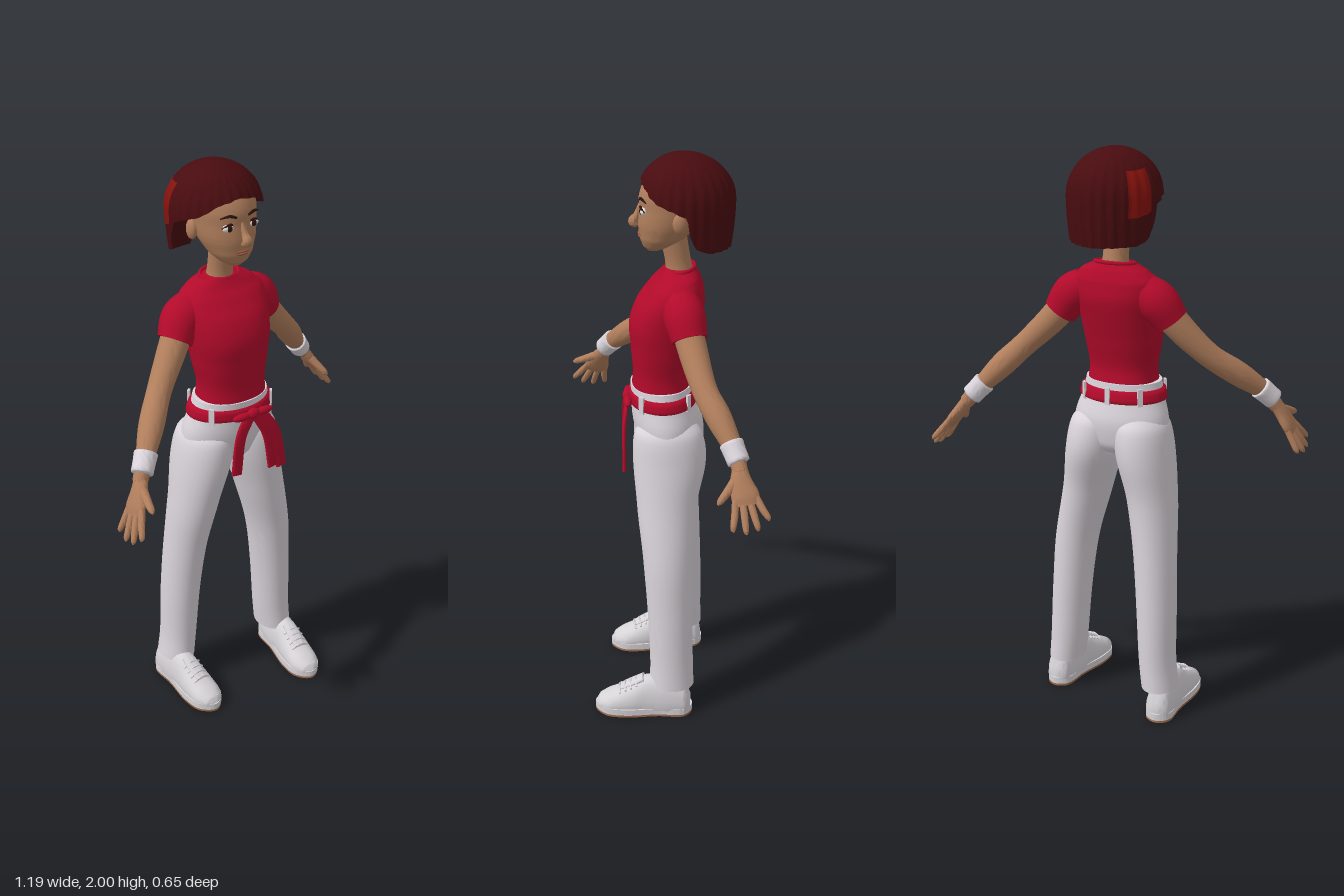
import * as THREE from 'three';
import { toCreasedNormals } from 'three/addons/utils/BufferGeometryUtils.js';

const V = (x, y, z) => new THREE.Vector3(x, y, z);
const X = V(1, 0, 0), Y = V(0, 1, 0), Z = V(0, 0, 1);

function mat(name, color, side = THREE.FrontSide) {
  const m = new THREE.MeshStandardMaterial({ color, side });
  m.name = name;
  return m;
}

function add(parent, name, geometry, material) {
  const m = new THREE.Mesh(geometry, material);
  m.name = name;
  parent.add(m);
  return m;
}

// Smooth body through elliptical sections [x, y, z, radius along ref, other radius]
function loft(secs, { ref = X, axis = null, n = 28, steps = 6, e = 1, floor = -1 } = {}) {
  const path = new THREE.CatmullRomCurve3(secs.map(s => V(s[0], s[1], s[2])));
  const size = new THREE.CatmullRomCurve3(secs.map(s => V(s[3], s[4] ?? s[3], 0)), false, 'catmullrom', 0.4);
  const rows = (secs.length - 1) * steps, pos = [], idx = [];
  const bend = c => Math.sign(c) * Math.abs(c) ** e;
  for (let i = 0; i <= rows; i++) {
    const c = path.getPoint(i / rows), r = size.getPoint(i / rows);
    const t = axis ?? path.getTangent(i / rows);
    const s = ref.clone().addScaledVector(t, -ref.dot(t)).normalize();
    const u = t.clone().cross(s);
    for (let j = 0; j < n; j++) {
      const a = j / n * Math.PI * 2;
      const p = c.clone().addScaledVector(s, bend(Math.cos(a)) * r.x).addScaledVector(u, bend(Math.sin(a)) * r.y);
      pos.push(p.x, Math.max(p.y, floor), p.z);
    }
  }
  for (const c of [path.getPoint(0), path.getPoint(1)]) pos.push(c.x, c.y, c.z);
  const first = (rows + 1) * n;
  for (let j = 0; j < n; j++) {
    const k = (j + 1) % n;
    for (let i = 0; i < rows; i++) {
      const a = i * n + j, b = i * n + k;
      idx.push(a, b, a + n, b, b + n, a + n);
    }
    idx.push(first, k, j, first + 1, rows * n + j, rows * n + k);
  }
  const g = new THREE.BufferGeometry();
  g.setAttribute('position', new THREE.Float32BufferAttribute(pos, 3));
  g.setIndex(idx);
  return toCreasedNormals(g, 0.9);
}

const ball = (x, y, z, a, b, c) => new THREE.SphereGeometry(1, 24, 16).scale(a, b, c).translate(x, y, z);

// Bob haircut: hairline height by angle from the front, and the surface point on it
const HAIRLINE = [[0, 1.915], [0.5, 1.9], [0.9, 1.865], [1.3, 1.845], [1.6, 1.825], [1.8, 1.72], [2.1, 1.7], [3.2, 1.695]];
function hairPoint(phi, t, grow = 1) {
  const a = Math.abs(phi), k = HAIRLINE.findIndex(h => h[0] > a);
  const [a0, y0] = HAIRLINE[k - 1], [a1, y1] = HAIRLINE[k];
  const low = y0 + (y1 - y0) * (a - a0) / (a1 - a0);
  const y = 2 - (2 - low) * (1 - Math.cos(Math.min(t, 1) * Math.PI / 2));
  let r = y > 1.85 ? Math.sqrt(Math.max(0, 1 - ((y - 1.85) / 0.15) ** 2)) : 1 - 3 * (1.85 - y) ** 2;
  r *= grow * (1 + 0.016 * Math.cos(26 * phi) * Math.min(1, t * 1.5));
  if (t > 1) r *= 1 - (t - 1) * 0.45;
  const depth = Math.cos(phi) > 0 ? 0.15 : 0.17;
  return V(-0.028 + Math.sin(phi) * 0.155 * r, y + Math.max(0, t - 1) * 0.02, -0.09 + Math.cos(phi) * depth * r);
}
function hairSheet(p0, p1, t0, t1, cols, rows, grow) {
  const pos = [], idx = [];
  for (let i = 0; i <= rows; i++) for (let j = 0; j <= cols; j++) {
    pos.push(...hairPoint(p0 + (p1 - p0) * j / cols, t0 + (t1 - t0) * i / rows, grow).toArray());
    if (i < rows && j < cols) {
      const a = i * (cols + 1) + j, b = a + cols + 1;
      idx.push(a, b, a + 1, b, b + 1, a + 1);
    }
  }
  const g = new THREE.BufferGeometry();
  g.setAttribute('position', new THREE.Float32BufferAttribute(pos, 3));
  g.setIndex(idx);
  return toCreasedNormals(g, 0.9);
}

function soleGeometry(bottom, height) {
  const half = [[0.043, -0.15], [0.048, -0.05], [0.062, 0.07], [0.05, 0.14]];
  const pts = [[0, -0.175], ...half, [0, 0.178], ...half.map(([x, z]) => [-x, z]).reverse()];
  const curve = new THREE.CatmullRomCurve3(pts.map(p => V(p[0], p[1], 0)), true);
  const shape = new THREE.Shape(curve.getPoints(48).map(p => new THREE.Vector2(p.x, p.y)));
  return new THREE.ExtrudeGeometry(shape, { depth: height, bevelEnabled: false }).rotateX(Math.PI / 2).translate(0, bottom + height, 0);
}

export function createModel() {
  const model = new THREE.Group();
  model.name = 'woman';
  const skin = mat('skin', 0xb07e5c), shirt = mat('shirt red', 0xb20a2a), white = mat('trouser white', 0xdad4da);
  const hair = mat('hair', 0x480c0f, THREE.DoubleSide), streak = mat('hair streak', 0x86120c, THREE.DoubleSide);
  const shoe = mat('shoe white', 0xd6d3d6), tread = mat('tread brown', 0xa06c4c);
  const eyeWhite = mat('eye white', 0xe8e2dc), dark = mat('dark brown', 0x2c1410), lip = mat('lip', 0x96553f);

  // Head and face
  const head = new THREE.Group();
  head.name = 'head';
  model.add(head);
  add(head, 'skull', loft([
    [-0.017, 1.682, 0.005, 0.022, 0.022], [-0.017, 1.7, -0.005, 0.052, 0.048], [-0.018, 1.73, -0.025, 0.077, 0.078],
    [-0.02, 1.78, -0.045, 0.098, 0.102], [-0.02, 1.825, -0.06, 0.106, 0.113], [-0.02, 1.87, -0.07, 0.11, 0.122],
    [-0.02, 1.92, -0.075, 0.098, 0.103], [-0.02, 1.96, -0.08, 0.05, 0.05]], { axis: Y, n: 40 }), skin);
  add(head, 'neck', loft([[-0.02, 1.56, -0.085, 0.055], [-0.02, 1.64, -0.075, 0.043], [-0.02, 1.74, -0.055, 0.046]], { axis: Y }), skin);
  add(head, 'nose', loft([[-0.018, 1.835, 0.046, 0.009], [-0.016, 1.8, 0.06, 0.011], [-0.015, 1.778, 0.073, 0.018, 0.016], [-0.015, 1.765, 0.062, 0.016, 0.01]]), skin);
  add(head, 'upperLip', ball(-0.017, 1.739, 0.048, 0.027, 0.005, 0.01), lip);
  add(head, 'lowerLip', ball(-0.017, 1.73, 0.047, 0.022, 0.006, 0.01), lip);
  for (const s of [-1, 1]) {
    const x = -0.019 + s * 0.046;
    add(head, 'eye', ball(x, 1.823, 0.039, 0.022, 0.013, 0.012), eyeWhite);
    add(head, 'iris', ball(x, 1.823, 0.047, 0.01, 0.011, 0.006), dark);
    add(head, 'upperLid', loft([[x - 0.023, 1.824, 0.037, 0.002], [x, 1.838, 0.05, 0.004], [x + 0.023, 1.824, 0.037, 0.002]], { ref: Y, n: 8 }), dark);
    add(head, 'eyebrow', loft([[x - s * 0.024, 1.856, 0.05, 0.004], [x, 1.864, 0.047, 0.005], [x + s * 0.026, 1.856, 0.032, 0.002]], { ref: Y, n: 8 }), dark);
    add(head, 'ear', ball(-0.02 + s * 0.108, 1.797, -0.075, 0.016, 0.034, 0.023), skin);
  }

  // Hair
  add(head, 'bobHair', hairSheet(-Math.PI, Math.PI, 0, 2, 182, 36, 1), hair);
  add(head, 'hairStreak', hairSheet(-2.35, -1.8, 0.42, 0.8, 24, 10, 1.012), streak);

  // Shirt
  add(model, 'shirtBody', loft([
    [-0.02, 1.2, -0.018, 0.124, 0.1], [-0.02, 1.26, -0.016, 0.12, 0.094], [-0.022, 1.35, -0.022, 0.134, 0.107],
    [-0.023, 1.43, -0.03, 0.146, 0.119], [-0.023, 1.5, -0.05, 0.155, 0.115], [-0.022, 1.56, -0.07, 0.155, 0.09],
    [-0.02, 1.597, -0.08, 0.12, 0.067], [-0.02, 1.622, -0.08, 0.07, 0.052]], { axis: Y, n: 40, e: 0.88 }), shirt);
  add(model, 'collar', new THREE.TorusGeometry(0.062, 0.007, 8, 32).rotateX(Math.PI / 2).scale(1.12, 1, 0.82).rotateX(0.12).translate(-0.02, 1.62, -0.08), shirt);

  // Arms: sleeve, arm, wristband and hand on each side, wrist to fingertips along dir
  const arms = [
    { name: 'left', sleeve: [[0.085, 1.535, -0.08, 0.06], [0.135, 1.5, -0.09, 0.069], [0.177, 1.437, -0.105, 0.059]],
      arm: [[0.14, 1.5, -0.09, 0.05], [0.19, 1.425, -0.11, 0.049], [0.3, 1.31, -0.15, 0.041], [0.36, 1.245, -0.19, 0.042], [0.435, 1.158, -0.238, 0.029], [0.475, 1.11, -0.253, 0.025]],
      dir: V(0.115, -0.165, -0.035) },
    { name: 'right', sleeve: [[-0.125, 1.535, -0.075, 0.06], [-0.175, 1.5, -0.07, 0.069], [-0.217, 1.437, -0.05, 0.059]],
      arm: [[-0.18, 1.5, -0.065, 0.05], [-0.23, 1.425, -0.04, 0.049], [-0.325, 1.315, 0.02, 0.041], [-0.4, 1.245, 0.09, 0.042], [-0.475, 1.168, 0.163, 0.029], [-0.505, 1.12, 0.185, 0.025]],
      dir: V(-0.085, -0.16, 0.065) }];
  for (const { name, sleeve, arm, dir } of arms) {
    const g = new THREE.Group();
    g.name = name + 'Arm';
    model.add(g);
    add(g, 'sleeve', loft(sleeve, { ref: Z }), shirt);
    add(g, 'arm', loft(arm, { ref: Z }), skin);
    const b = V(...arm[4]), along = V(...arm[5]).sub(V(...arm[3])).normalize();
    const cuff = [-0.036, -0.033, 0, 0.033, 0.036].map((o, i) =>
      [...b.clone().addScaledVector(along, o).toArray(), [0.033, 0.039, 0.037, 0.036, 0.03][i]]);
    add(g, 'wristband', loft(cuff, { ref: Z, steps: 3 }), white);

    const d = dir.clone().normalize(), s = Z.clone().addScaledVector(d, -d.z).normalize(), w = V(...arm[5]);
    const at = (l, o) => w.clone().addScaledVector(d, l).addScaledVector(s, o).toArray();
    add(g, 'palm', loft([[...at(-0.01, 0), 0.025, 0.02], [...at(0.03, 0.004), 0.035, 0.021], [...at(0.08, 0), 0.045, 0.018], [...at(0.108, 0), 0.036, 0.011]], { ref: s }), skin);
    [0.09, 0.105, 0.1, 0.075].forEach((len, i) => {
      const o = 0.033 - i * 0.022, out = o * 1.75;
      add(g, 'finger', loft([[...at(0.085, o), 0.011], [...at(0.09 + len * 0.5, (o + out) / 2), 0.0115], [...at(0.09 + len * 0.92, out), 0.009], [...at(0.093 + len, out), 0.003]], { ref: s, n: 12, steps: 4 }), skin);
    });
    add(g, 'thumb', loft([[...at(0.015, 0.012), 0.017], [...at(0.05, 0.047), 0.0145], [...at(0.08, 0.08), 0.011], [...at(0.09, 0.09), 0.004]], { ref: d.clone().cross(s), n: 12 }), skin);
  }

  // Trousers
  add(model, 'trouserSeat', loft([
    [-0.022, 0.955, -0.045, 0.1, 0.07], [-0.022, 1.0, -0.042, 0.17, 0.1], [-0.022, 1.08, -0.035, 0.172, 0.115],
    [-0.022, 1.16, -0.022, 0.148, 0.107], [-0.022, 1.212, -0.018, 0.136, 0.105]], { axis: Y, n: 40 }), white);
  const legs = {
    leftTrouserLeg: [[0.055, 1.12, -0.035, 0.05, 0.06], [0.064, 1.06, -0.04, 0.092, 0.115], [0.077, 0.96, -0.045, 0.097, 0.126], [0.112, 0.8, -0.035, 0.086, 0.104],
      [0.157, 0.6, -0.038, 0.077, 0.087], [0.177, 0.4, -0.045, 0.07, 0.08], [0.189, 0.2, -0.05, 0.066, 0.077], [0.197, 0.11, -0.05, 0.064, 0.08]],
    rightTrouserLeg: [[-0.1, 1.12, -0.04, 0.05, 0.06], [-0.108, 1.06, -0.045, 0.092, 0.115], [-0.123, 0.96, -0.05, 0.098, 0.124], [-0.153, 0.8, -0.055, 0.085, 0.104],
      [-0.178, 0.6, -0.078, 0.074, 0.087], [-0.193, 0.4, -0.093, 0.069, 0.08], [-0.203, 0.2, -0.1, 0.064, 0.076], [-0.214, 0.11, -0.1, 0.064, 0.079]] };
  for (const [name, secs] of Object.entries(legs)) add(model, name, loft(secs, { axis: V(0, -1, 0), n: 32 }), white);

  // Sash with knot, bow loops, hanging tails and belt loops
  const sash = new THREE.Group();
  sash.name = 'sash';
  model.add(sash);
  add(sash, 'sashBand', loft([[-0.022, 1.146, -0.024, 0.15, 0.112], [-0.022, 1.152, -0.024, 0.159, 0.118], [-0.022, 1.184, -0.02, 0.152, 0.113], [-0.022, 1.19, -0.02, 0.143, 0.106]], { axis: Y, n: 40, steps: 3 }), shirt);
  add(sash, 'knot', ball(-0.005, 1.165, 0.098, 0.024, 0.02, 0.017), shirt);
  for (const s of [-1, 1]) add(sash, 'bowLoop', ball(-0.005 + s * 0.04, 1.162, 0.096, 0.042, 0.014, 0.014), shirt);
  const tails = [
    [[-0.02, 1.16], [-0.062, 1.1], [-0.083, 0.955]],
    [[0.005, 1.16], [0.045, 1.08], [0.07, 0.94]],
    [[0.025, 1.16], [0.075, 1.08], [0.105, 0.93]]];
  for (const t of tails) add(sash, 'tail', loft(t.map(([x, y], i) => [x, y, [0.1, 0.11, 0.112][i], 0.02, 0.006]), { n: 16, e: 0.5 }), shirt);
  for (const a of [0.9, 2.4, Math.PI, 3.9, 5.4]) {
    const loop = add(sash, 'beltLoop', new THREE.BoxGeometry(0.018, 0.06, 0.008), white);
    loop.position.set(-0.022 + Math.sin(a) * 0.157, 1.172, -0.022 + Math.cos(a) * 0.117);
    loop.rotation.y = a;
  }

  // Shoes
  const feet = [['leftShoe', 0.203, 0.05, -0.08], ['rightShoe', -0.222, -0.008, 0.06]];
  for (const [name, x, z, yaw] of feet) {
    const g = new THREE.Group();
    g.name = name;
    g.position.set(x, 0, z);
    g.rotation.y = yaw;
    model.add(g);
    add(g, 'tread', soleGeometry(0, 0.008), tread);
    add(g, 'sole', soleGeometry(0.008, 0.024), shoe);
    const upper = [[-0.168, 0.025, 0.07], [-0.15, 0.043, 0.12], [-0.08, 0.05, 0.147], [-0.01, 0.05, 0.145],
      [0.05, 0.056, 0.112], [0.12, 0.055, 0.078], [0.16, 0.036, 0.056], [0.173, 0.013, 0.037]];
    add(g, 'upper', loft(upper.map(([uz, w, top]) => [0, 0.028, uz, w, top - 0.028]), { axis: Z, floor: 0.024, e: 0.85 }), shoe);
    add(g, 'tongue', loft([[0, 0.137, 0, 0.024, 0.014], [0, 0.114, 0.05, 0.025, 0.008], [0, 0.093, 0.09, 0.02, 0.006]]), shoe);
    for (let i = 0; i < 4; i++) {
      const lz = 0.025 + i * 0.02, ly = 0.134 - i * 0.0105;
      add(g, 'lace', loft([[-0.034, ly - 0.016, lz, 0.004], [0, ly, lz + 0.004, 0.004], [0.034, ly - 0.016, lz, 0.004]], { ref: Y, n: 8 }), white);
    }
  }
  return model;
}
